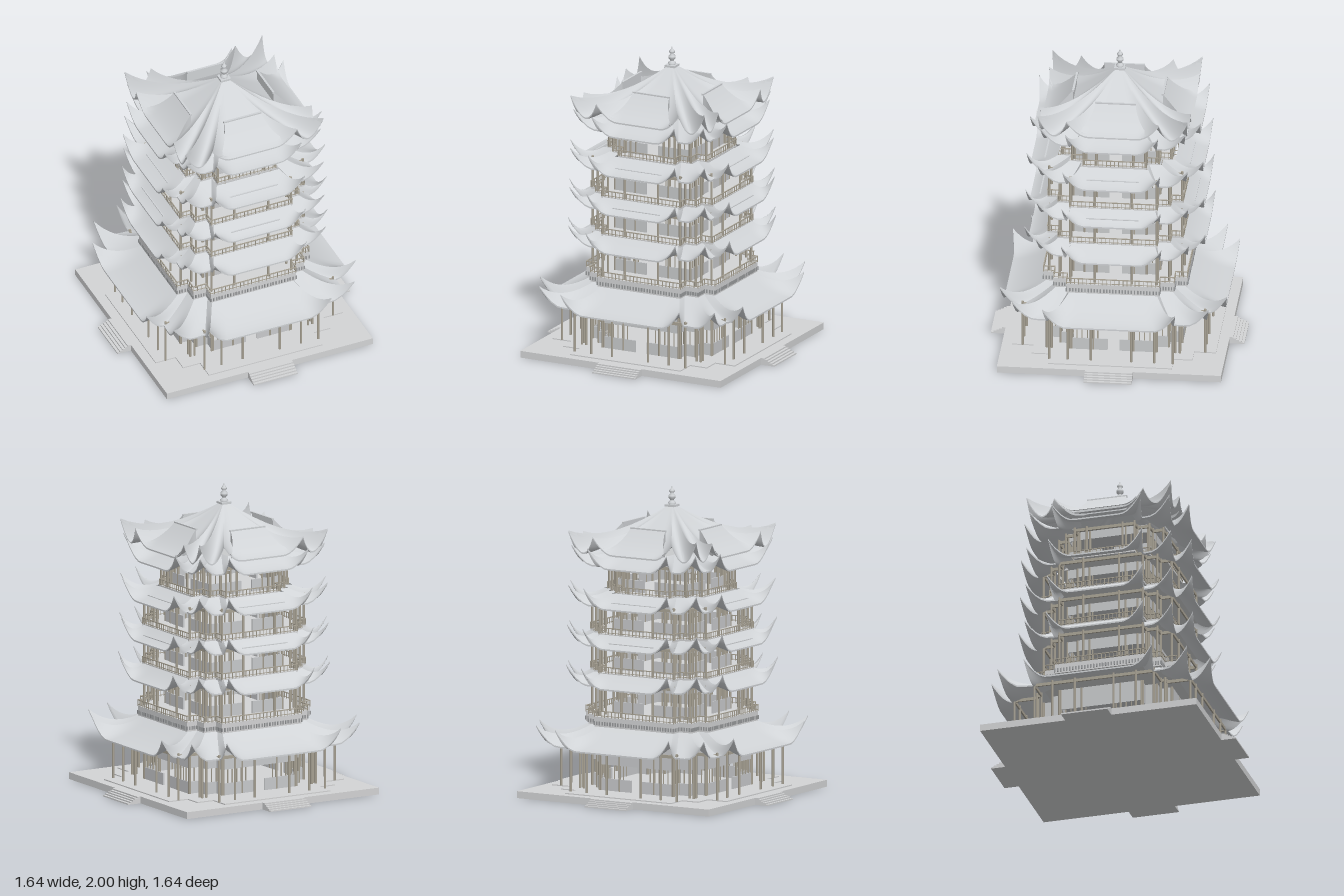
import * as THREE from 'three';
import { mergeGeometries, toCreasedNormals } from 'three/addons/utils/BufferGeometryUtils.js';

const mat = (name, color, side = THREE.FrontSide) => {
  const m = new THREE.MeshStandardMaterial({ color, side });
  m.name = name;
  return m;
};

// Stepped cross outline [x, z, tip]: arm half width a, arm reach d, corner block c, notch at (nx, nz)
function cross(a, d, c, nx = a, nz = c, armTip = 1) {
  const quarter = [[a, d, armTip], [nx, nz, 0], [c, c, 1], [nz, nx, 0], [d, a, armTip]];
  const pts = [];
  for (let q = 0; q < 4; q++) {
    for (const [x, z, tip] of quarter) {
      pts.push(q === 0 ? [x, z, tip] : q === 1 ? [z, -x, tip] : q === 2 ? [-x, -z, tip] : [-z, x, tip]);
    }
  }
  return pts;
}

const edges = (pts) => pts.map((p, i) => [p, pts[(i + 1) % pts.length]]);
const mix = (a, b, t) => a + (b - a) * t;

// Surface through rows of points; each row has the same count
function grid(rows) {
  const n = rows[0].length, idx = [];
  for (let j = 0; j < rows.length - 1; j++) {
    for (let i = 0; i < n - 1; i++) {
      const a = j * n + i, b = a + n;
      idx.push(a, b, a + 1, a + 1, b, b + 1);
    }
  }
  const g = new THREE.BufferGeometry();
  g.setAttribute('position', new THREE.Float32BufferAttribute(rows.flat(2), 3));
  g.setIndex(idx);
  return g;
}

// Sweeping roof shell between an inner and an outer outline, with upturned corners
function roofGeometry({ inner, outer, top, eave, lift, power = 1.5, zone = 0.14 }) {
  const samples = [];
  const outerEdges = edges(outer);
  edges(inner).forEach(([p, q], k) => {
    const [P, Q] = outerEdges[k];
    const len = Math.hypot(Q[0] - P[0], Q[1] - P[1]);
    const reach = Math.min(len, zone), n = len > 0.3 ? 24 : 8;
    for (let i = 0; i < n; i++) {
      const t = 0.5 - 0.5 * Math.cos(Math.PI * i / n);
      const near = (d, tip) => tip * Math.max(0, 1 - d / reach) ** 2;
      const l = Math.max(near(t * len, P[2]), near((1 - t) * len, Q[2]));
      const s = 0.975 + 0.025 * l;
      samples.push({ ix: mix(p[0], q[0], t), iz: mix(p[1], q[1], t),
        ox: mix(P[0], Q[0], t) * s, oz: mix(P[1], Q[1], t) * s, l });
    }
  });
  samples.push(samples[0]);
  const row = (v, drop) => samples.map((s) => [mix(s.ix, s.ox, v),
    eave + (top - eave) * (1 - v) ** power + s.l * lift * v ** 2.5 - drop, mix(s.iz, s.oz, v)]);
  const vs = [0, 0.12, 0.25, 0.38, 0.5, 0.62, 0.73, 0.83, 0.92, 1];
  const upper = grid(vs.map((v) => row(v, 0)));
  const lip = grid([row(1, 0), row(1, 0.01)]);
  const soffit = grid([...vs].reverse().map((v) => row(v, 0.01)));
  return toCreasedNormals(mergeGeometries([upper, lip, soffit]), 0.6);
}

// Box along an outline edge
function bar(p, q, y0, y1, th) {
  const dx = Math.abs(q[0] - p[0]), dz = Math.abs(q[1] - p[1]);
  return new THREE.BoxGeometry(dx + th, y1 - y0, dz + th)
    .translate((p[0] + q[0]) / 2, (y0 + y1) / 2, (p[1] + q[1]) / 2);
}

// Evenly spaced points on an edge
function along([p, q], step) {
  const n = Math.max(1, Math.round(Math.hypot(q[0] - p[0], q[1] - p[1]) / step));
  return Array.from({ length: n }, (_, i) => [mix(p[0], q[0], i / n), mix(p[1], q[1], i / n)]);
}

function slab(outline, y0, y1) {
  const shape = new THREE.Shape(outline.map(([x, z]) => new THREE.Vector2(x, -z)));
  return new THREE.ExtrudeGeometry(shape, { depth: y1 - y0, bevelEnabled: false })
    .rotateX(-Math.PI / 2).translate(0, y0, 0);
}

export function createModel() {
  const root = new THREE.Group();
  root.name = 'pavilionTower';
  const roofMat = mat('roof tile', 0xd0d3d6, THREE.DoubleSide);
  const stone = mat('stone', 0xd3d4d5);
  const wallMat = mat('wall panel', 0xc8cacc);
  const wood = mat('column', 0xaaa496);
  const trim = mat('dark trim', 0x9a9c9e);
  const add = (name, geo, m) => {
    const list = Array.isArray(geo) ? geo : [geo];
    const mesh = new THREE.Mesh(list.length > 1 ? mergeGeometries(list) : list[0], m);
    mesh.name = name;
    root.add(mesh);
  };
  const turned = (g) => [0, 1, 2, 3].map((s) => g.clone().rotateY(s * Math.PI / 2));

  // Base, plinth and four flights of steps
  add('platform', new THREE.BoxGeometry(1.45, 0.045, 1.45).translate(0, 0.0225, 0), stone);
  add('plinth', slab(cross(0.4, 0.66, 0.52), 0.045, 0.052), stone);
  const steps = [];
  for (let k = 0; k < 5; k++) {
    const end = 0.82 - 0.018 * k;
    steps.push(...turned(new THREE.BoxGeometry(0.31, 0.009, end - 0.72)
      .translate(0, 0.0045 + 0.009 * k, (end + 0.72) / 2)));
  }
  add('steps', steps, stone);

  // Storeys: floor y, ceiling y, column outline, wall outline, lintel height, extra columns, railing outline
  const upper = { a: 0.28, d: 0.43, c: 0.355, wall: [0.2, 0.28, 0.272], mid: [0.12] };
  const storeys = [
    { y0: 0.05, y1: 0.36, a: 0.4, d: 0.59, c: 0.43, wall: [0.27, 0.43, 0.35], lintel: 0.14, mid: [0.13, 0.28] },
    { ...upper, y0: 0.53, y1: 0.77, lintel: 0.075, rail: [0.3, 0.465, 0.39] },
    { ...upper, y0: 0.815, y1: 1.02, lintel: 0.06, rail: [0.285, 0.44, 0.365] },
    { ...upper, y0: 1.07, y1: 1.28, lintel: 0.06, rail: [0.285, 0.44, 0.365] },
    { ...upper, y0: 1.33, y1: 1.54, a: 0.2, d: 0.35, c: 0.28, lintel: 0.055,
      wall: [0.19, 0.272, 0.265], rail: [0.205, 0.36, 0.285] },
  ];
  storeys.forEach(({ y0, y1, a, d, c, wall, lintel, mid, rail }, i) => {
    const n = i + 1, outline = cross(a, d, c), wallLine = cross(...wall);

    // Columns on the outer line and against the walls
    const spots = [...outline, ...wallLine];
    for (const m of mid) {
      for (const s of [-1, 1]) {
        for (const r of [d, wall[1]]) spots.push([s * m, r], [s * m, -r], [r, s * m], [-r, s * m]);
      }
    }
    add('columns' + n, spots.map(([x, z]) => new THREE.CylinderGeometry(0.008, 0.008, y1 - y0, 8)
      .translate(x, (y0 + y1) / 2, z)), wood);

    // Walls: sill panels, window bars and lintels, with a doorway on every side
    const panels = [], bars = [], sill = y0 + 0.08;
    for (const [p, q] of edges(wallLine)) {
      panels.push(bar(p, q, y1 - lintel, y1, 0.01));
      const arm = Math.hypot(p[0] - q[0], p[1] - q[1]) > 0.25;
      if (arm) {
        const h = wall[0], at = (s) => [mix(p[0], q[0], 0.5 + s / (2 * h)), mix(p[1], q[1], 0.5 + s / (2 * h))];
        for (const s of [-1, 1]) panels.push(bar(at(s * 0.045), at(s * (h - 0.01)), y0, sill, 0.01));
      } else panels.push(bar(p, q, y0, sill, 0.01));
      for (const w of along([p, q], 0.034)) {
        if (arm && Math.min(Math.abs(w[0]), Math.abs(w[1])) < 0.09) continue;
        bars.push(bar(w, w, sill, y1 - lintel, 0.006));
      }
    }
    add('wallPanels' + n, panels, wallMat);
    add('windowBars' + n, bars, wood);
    add('eaveBeams' + n, edges(outline).map(([p, q]) => bar(p, q, y1 - 0.03, y1 - 0.01, 0.01)), wood);
    add('ceiling' + n, slab(wallLine, y1 - 0.01, y1), wallMat);

    // Balcony deck and railing
    if (!rail) return;
    const line = cross(...rail), railing = [];
    add('deck' + n, slab(line, i === 1 ? 0.468 : y0 - 0.012, y0 + 0.002), stone);
    for (const e of edges(line)) {
      railing.push(bar(e[0], e[1], y0 + 0.037, y0 + 0.043, 0.006));
      railing.push(bar(e[0], e[1], y0 + 0.008, y0 + 0.012, 0.004));
      for (const w of along(e, 0.026)) railing.push(bar(w, w, y0, y0 + 0.038, 0.004));
    }
    add('railing' + n, railing, wood);
    if (i === 1) {
      const grille = edges(line).flatMap((e) => along(e, 0.02).map((w) => bar(w, w, 0.478, 0.502, 0.009)));
      add('deckGrille', grille, trim);
    }
  });

  // Five skirt roofs
  const skirts = [
    { eave: 0.34, top: 0.468, lift: 0.13, inner: [0.28, 0.44, 0.37], outer: [0.43, 0.735, 0.635] },
    { eave: 0.735, top: 0.815, lift: 0.125, inner: [0.27, 0.435, 0.355], outer: [0.325, 0.585, 0.495] },
    { eave: 0.995, top: 1.07, lift: 0.125, inner: [0.27, 0.435, 0.355], outer: [0.32, 0.578, 0.49] },
    { eave: 1.255, top: 1.33, lift: 0.125, inner: [0.22, 0.38, 0.3], outer: [0.315, 0.572, 0.485] },
    { eave: 1.515, top: 1.6, lift: 0.125, inner: [0.18, 0.34, 0.26], outer: [0.3, 0.552, 0.47] },
  ];
  skirts.forEach(({ inner, outer: [a, d, c], ...s }, i) => add('skirtRoof' + (i + 1), roofGeometry({ ...s,
    inner: cross(...inner), outer: cross(a, d, c, a - 0.015, c - 0.015) }), roofMat));

  // Thin ledges across the third and fourth roofs
  add('roofLedges', [[1.021, 0.497], [1.281, 0.466]].flatMap(([y, z]) =>
    turned(new THREE.BoxGeometry(0.34, 0.006, 0.014).translate(0, y, z))), roofMat);

  // Square pyramid top roof
  add('topRoof', roofGeometry({ inner: cross(0.012, 0.02, 0.02, 0.016, 0.02),
    outer: cross(0.3, 0.49, 0.485, 0.39, 0.485, 0.78),
    top: 1.87, eave: 1.595, lift: 0.138, power: 1.35 }), roofMat);

  // Four dormer roofs with ridge bars
  const dormerRow = (v, drop) => {
    const half = 0.13 + 0.12 * v ** 1.5, pts = [];
    for (let i = 0; i <= 16; i++) {
      const x = half * (i / 8 - 1);
      const l = Math.max(0, 1 - (0.3 - Math.abs(x)) / 0.14) ** 2;
      pts.push([x, 1.602 + 0.153 * (1 - v) ** 1.45 + l * 0.108 * v ** 2.5 - drop, 0.29 + 0.192 * v]);
    }
    const skirt = ([x, y, z]) => [x, y - 0.1 * (1 - v), z];
    return [skirt(pts[0]), ...pts, skirt(pts[16])];
  };
  const rows = [dormerRow(0, 0.1)];
  for (let j = 0; j <= 8; j++) rows.push(dormerRow(j / 8, 0));
  add('dormerRoofs', turned(toCreasedNormals(grid(rows), 0.6)), roofMat);
  add('dormerRidges', turned(new THREE.BoxGeometry(0.265, 0.012, 0.014).translate(0, 1.75, 0.29)), roofMat);

  // Finial
  add('finialBase', new THREE.BoxGeometry(0.07, 0.014, 0.07).translate(0, 1.872, 0), roofMat);
  const profile = [[0.022, 1.875], [0.026, 1.89], [0.012, 1.902], [0.012, 1.908], [0.024, 1.922], [0.024, 1.935],
    [0.01, 1.95], [0.018, 1.96], [0.018, 1.97], [0.007, 1.982], [0.006, 1.99], [0, 2]];
  add('finial', new THREE.LatheGeometry(profile.map(([r, y]) => new THREE.Vector2(r, y)), 16), roofMat);
  return root;
}
